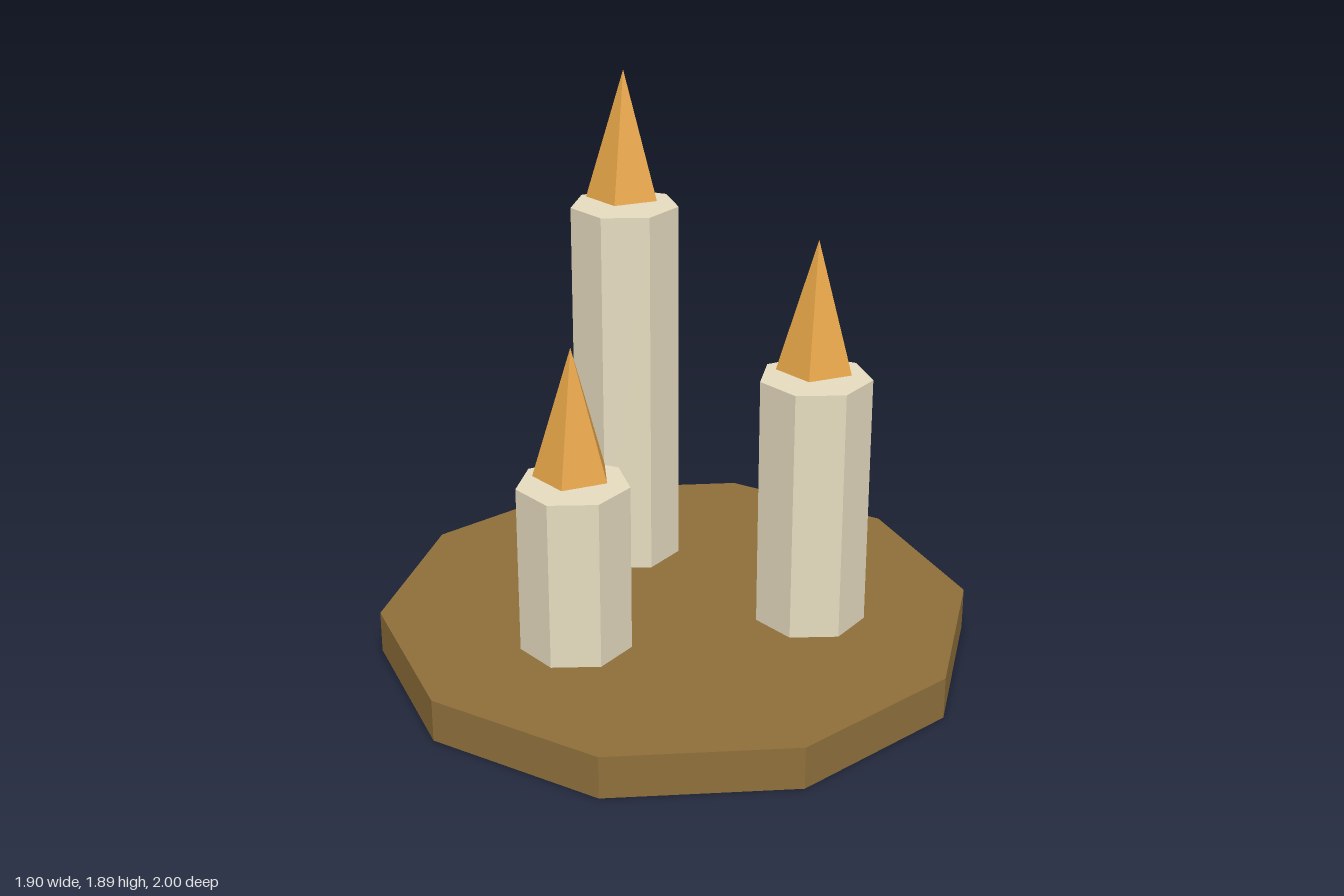
import * as THREE from 'three';

export function createModel() {
  const model = new THREE.Group();
  model.name = 'candleTray';

  const material = (name, color) => {
    const m = new THREE.MeshStandardMaterial({ color, flatShading: true });
    m.name = name;
    return m;
  };
  const wood = material('brown wood', 0x8f6f3b);
  const wax = material('cream wax', 0xe6dcc0);
  const fire = material('amber flame', 0xf0ac4c);

  const add = (parent, name, geometry, mat, y) => {
    const mesh = new THREE.Mesh(geometry, mat);
    mesh.name = name;
    mesh.position.y = y;
    parent.add(mesh);
  };

  // Ten-sided tray
  const trayHeight = 0.143;
  add(model, 'tray', new THREE.CylinderGeometry(1, 1, trayHeight, 10), wood, trayHeight / 2);

  // Candles: x, z, height; each has a flame floating just above the wax
  const candles = [
    ['frontCandle', 0, 0.429, 0.571],
    ['rightCandle', -0.429, -0.143, 1.286],
    ['leftCandle', 0.357, -0.286, 0.857],
  ];
  const flameHeight = 0.429;
  const flameGap = 0.029;
  for (const [name, x, z, height] of candles) {
    const candle = new THREE.Group();
    candle.name = name;
    candle.position.set(x, trayHeight, z);
    candle.rotation.y = Math.PI; // flat side to the front
    add(candle, 'wax', new THREE.CylinderGeometry(0.186, 0.186, height, 7), wax, height / 2);
    add(candle, 'flame', new THREE.ConeGeometry(0.129, flameHeight, 5), fire, height + flameGap + flameHeight / 2);
    model.add(candle);
  }

  return model;
}
